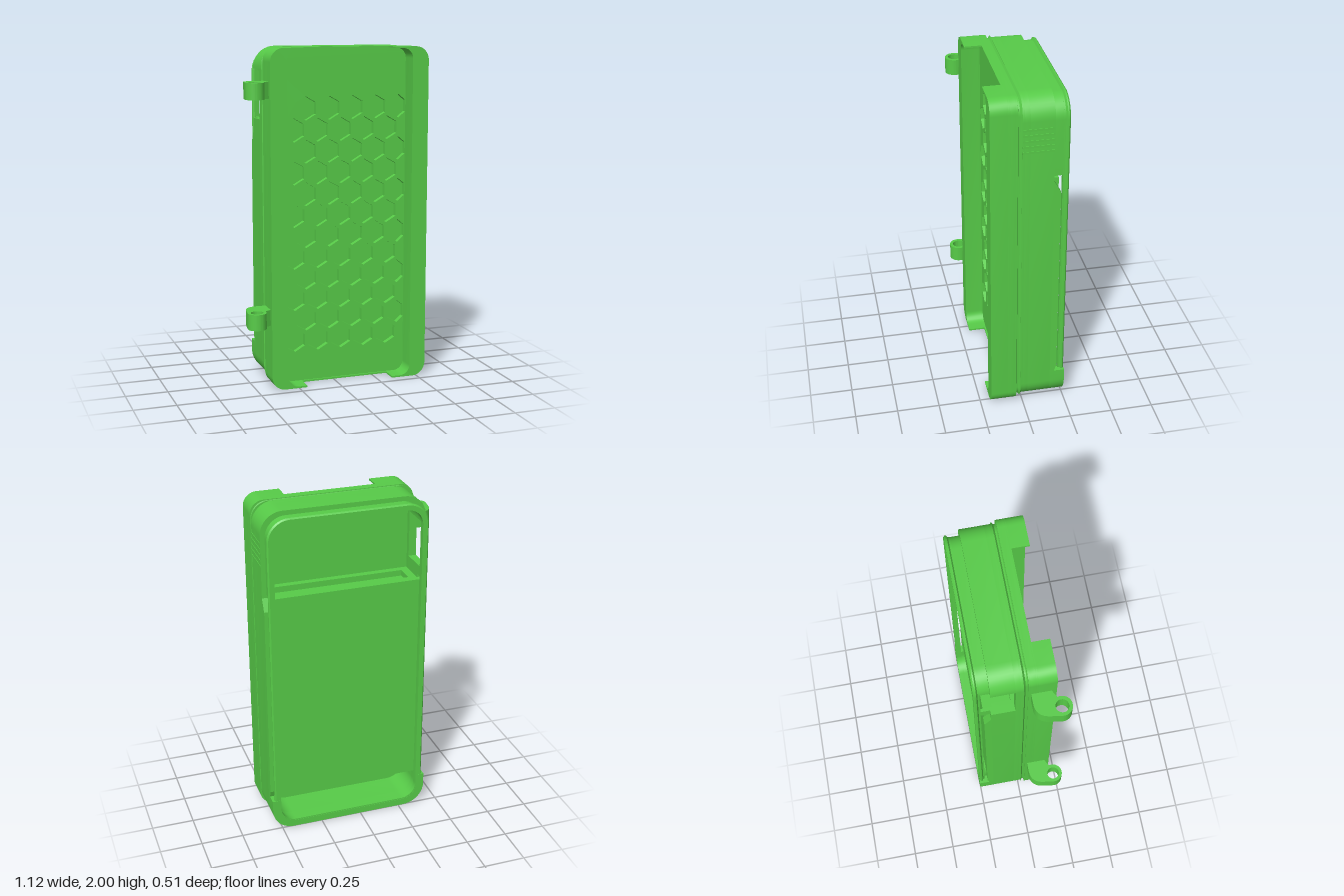
import * as THREE from 'three';
import { toCreasedNormals } from 'three/addons/utils/BufferGeometryUtils.js';

const X0 = -0.415, X1 = 0.557, H = 2;      // outer case
const IX0 = -0.37, IX1 = 0.512;            // inner faces of the side walls
const V = (x, y) => new THREE.Vector2(x, y);

// Rounded rectangle, counter-clockwise, starting and ending on the left edge
function roundRect(x0, x1, y0, y1, r, n = 10) {
  const pts = [];
  [[x0 + r, y0 + r, 2], [x1 - r, y0 + r, 3], [x1 - r, y1 - r, 0], [x0 + r, y1 - r, 1]].forEach(([cx, cy, q]) => {
    for (let i = 0; i <= n; i++) {
      const a = (q + i / n) * Math.PI / 2;
      pts.push(V(cx + r * Math.cos(a), cy + r * Math.sin(a)));
    }
  });
  return pts;
}

export function createModel() {
  const group = new THREE.Group();
  const mat = new THREE.MeshStandardMaterial({ color: 0x57cb48 });

  const add = (name, geo) => {
    const mesh = new THREE.Mesh(geo, mat);
    mesh.name = name;
    group.add(mesh);
    return mesh;
  };
  const plate = (name, pts, z0, z1, holes = []) => {
    const shape = new THREE.Shape(pts);
    shape.holes = holes.map(h => new THREE.Path(h));
    const geo = new THREE.ExtrudeGeometry(shape, { depth: z1 - z0, bevelEnabled: false });
    geo.translate(0, 0, z0);
    return add(name, toCreasedNormals(geo, 0.5));
  };
  const box = (name, x0, x1, y0, y1, z0, z1) => {
    const geo = new THREE.BoxGeometry(x1 - x0, y1 - y0, z1 - z0);
    geo.translate((x0 + x1) / 2, (y0 + y1) / 2, (z0 + z1) / 2);
    return add(name, geo);
  };
  // Closed [inset, z] profile swept round a rounded rectangle
  const band = (name, x0, x1, y0, y1, r, profile) => {
    const rings = profile.map(([d, z]) =>
      roundRect(x0 + d, x1 - d, y0 + d, y1 - d, r - d).map(p => [p.x, p.y, z]));
    const pos = [];
    rings.forEach((hi, j) => {
      const lo = rings[(j + 1) % rings.length];
      hi.forEach((p, i) => {
        const k = (i + 1) % hi.length;
        pos.push(...lo[i], ...lo[k], ...p, ...lo[k], ...hi[k], ...p);
      });
    });
    const geo = new THREE.BufferGeometry();
    geo.setAttribute('position', new THREE.Float32BufferAttribute(pos, 3));
    return add(name, toCreasedNormals(geo, 0.5));
  };

  // Front cover: backing, honeycomb plate and recess walls
  const coverOuter = roundRect(X0, X1, 0, H, 0.08);
  const recess = roundRect(-0.315, 0.457, 0.01, 1.99, 0.06);
  plate('coverBacking', coverOuter, 0.038, 0.048);
  const hexes = [];
  for (let row = 0; row < 12; row++) {
    for (let col = 0; col < 5; col++) {
      const cx = -0.24 + col * 0.145 + (row % 2) * 0.0725, cy = 0.26 + row * 0.126;
      const hex = [];
      for (let i = 0; i < 6; i++) {
        const a = (i + 0.5) * Math.PI / 3;
        hex.push(V(cx + 0.07 * Math.cos(a), cy + 0.07 * Math.sin(a)));
      }
      // the last column is cut flat by the recess wall
      hexes.push(hex.map(p => V(Math.min(p.x, 0.455), p.y)));
    }
  }
  plate('honeycombPlate', coverOuter, 0.048, 0.08, hexes);
  plate('recessRim', coverOuter, 0.08, 0.09, [recess]);
  const cutL = -0.2, cutR = 0.343;
  const leftOf = pts => pts.filter(p => p.x < cutL), rightOf = pts => pts.filter(p => p.x > cutR);
  const top = pts => pts.filter(p => p.y > 1), bottom = pts => pts.filter(p => p.y < 1);
  const lo = leftOf(coverOuter), li = leftOf(recess);
  plate('coverWallRight', [
    V(cutL, H), ...top(lo), ...bottom(lo), V(cutL, 0),
    V(cutL, 0.01), ...bottom(li).reverse(), ...top(li).reverse(), V(cutL, 1.99)], 0.09, 0.19);
  plate('coverWallLeft', [
    V(cutR, 0), ...rightOf(coverOuter), V(cutR, H),
    V(cutR, 1.99), ...rightOf(recess).reverse(), V(cutR, 0.01)], 0.09, 0.19);

  // V-shaped seam between cover and shell
  band('seam', X0, X1, 0, H, 0.1,
    [[0, 0.04], [0.014, 0.033], [0.014, 0.024], [0, 0.014], [0.06, 0.014], [0.06, 0.04]]);

  // Back shell: floor and walls, with a window in one side wall
  const shellOuter = roundRect(X0, X1, 0, H, 0.13);
  const shellInner = roundRect(IX0, IX1, 0.04, 1.955, 0.1);
  const winLow = 1.58, winHigh = 1.87;
  plate('shellFloor', shellOuter, 0, 0.015);
  plate('shellFloorCore', roundRect(X0 + 0.05, X1 - 0.05, 0.05, 1.95, 0.08), 0.01, 0.04);
  plate('shellWallFront', shellOuter, -0.03, 0, [shellInner]);
  plate('shellWall', [
    V(X0, winLow), ...shellOuter, V(X0, winHigh),
    V(IX0, winHigh), ...[...shellInner].reverse(), V(IX0, winLow)], -0.165, -0.03);

  // Thin raised lip round the top, and the full-width foot
  const lipOuter = roundRect(-0.388, 0.53, 0, 1.973, 0.12);
  const above = pts => pts.filter(p => p.y > 1.6);
  plate('topLip', [
    V(0.53, 1.52), ...above(lipOuter), V(-0.388, winHigh),
    V(IX0, winHigh), ...above(shellInner).reverse(), V(IX1, 1.52)], -0.22, -0.165);
  box('windowSill', -0.388, IX0, 1.52, winLow, -0.22, -0.165);
  const below = pts => pts.filter(p => p.y < 0.2);
  plate('foot', [
    V(X0, 0.2), ...below(shellOuter), V(X1, 0.2),
    V(IX1, 0.2), ...below(shellInner).reverse(), V(IX0, 0.2)], -0.254, -0.165);

  // Side rails, sloping down at the top end; the slit stays open behind them
  [[X0, IX0], [IX1, X1]].forEach(([a, b]) => {
    const rail = new THREE.Shape([V(0.165, 0.2), V(0.165, 1.5), V(0.204, 1.43), V(0.204, 0.24), V(0.19, 0.2)]);
    const geo = new THREE.ExtrudeGeometry(rail, { depth: b - a, bevelEnabled: false });
    geo.rotateY(Math.PI / 2);
    geo.translate(a, 0, 0);
    add('sideRail', geo);
  });

  // Flared rim at the back
  band('backRim', -0.4, 0.542, 0.01, 1.985, 0.13,
    [[0.012, -0.218], [0.012, -0.228], [0, -0.236], [0, -0.244], [0.008, -0.252], [0.037, -0.252], [0.037, -0.218]]
  );

  // Inner block with a shallow tray in its top
  const bx0 = IX0 - 0.002, bx1 = IX1 + 0.002;
  box('innerBlock', bx0, bx1, 0.2, 1.465, -0.2, 0.005);
  box('trayBack', bx0, bx1, 1.465, 1.5, -0.2, -0.15);
  box('trayFront', bx0, bx1, 1.465, 1.5, -0.04, 0.005);
  box('trayEnd', bx0, bx0 + 0.05, 1.465, 1.5, -0.15, -0.04);
  box('trayEnd', bx1 - 0.05, bx1, 1.465, 1.5, -0.15, -0.04);

  // Grip ribs on the side
  for (let i = 0; i < 5; i++) {
    const y = 1.685 + i * 0.033;
    box('gripRib', X1 - 0.005, X1 + 0.003, y, y + 0.012, -0.163, 0.013);
  }

  // Hinge lugs (outline drawn in x and -z)
  const lug = new THREE.Shape();
  lug.moveTo(-0.405, -0.052);
  lug.lineTo(-0.405, -0.155);
  lug.lineTo(-0.455, -0.185);
  lug.absarc(-0.508, -0.2, 0.055, 0.27, -Math.PI - 0.12, true);
  lug.lineTo(-0.553, -0.125);
  lug.quadraticCurveTo(-0.54, -0.052, -0.47, -0.052);
  const pin = new THREE.Path();
  pin.absarc(-0.508, -0.2, 0.036, 0, Math.PI * 2, false);
  lug.holes.push(pin);
  [0.39, 1.715].forEach(y => {
    const geo = new THREE.ExtrudeGeometry(lug, { depth: 0.095, bevelEnabled: false, curveSegments: 24 });
    geo.rotateX(-Math.PI / 2);
    geo.translate(0, y, 0);
    add('hingeLug', toCreasedNormals(geo, 0.5));
  });

  return group;
}
